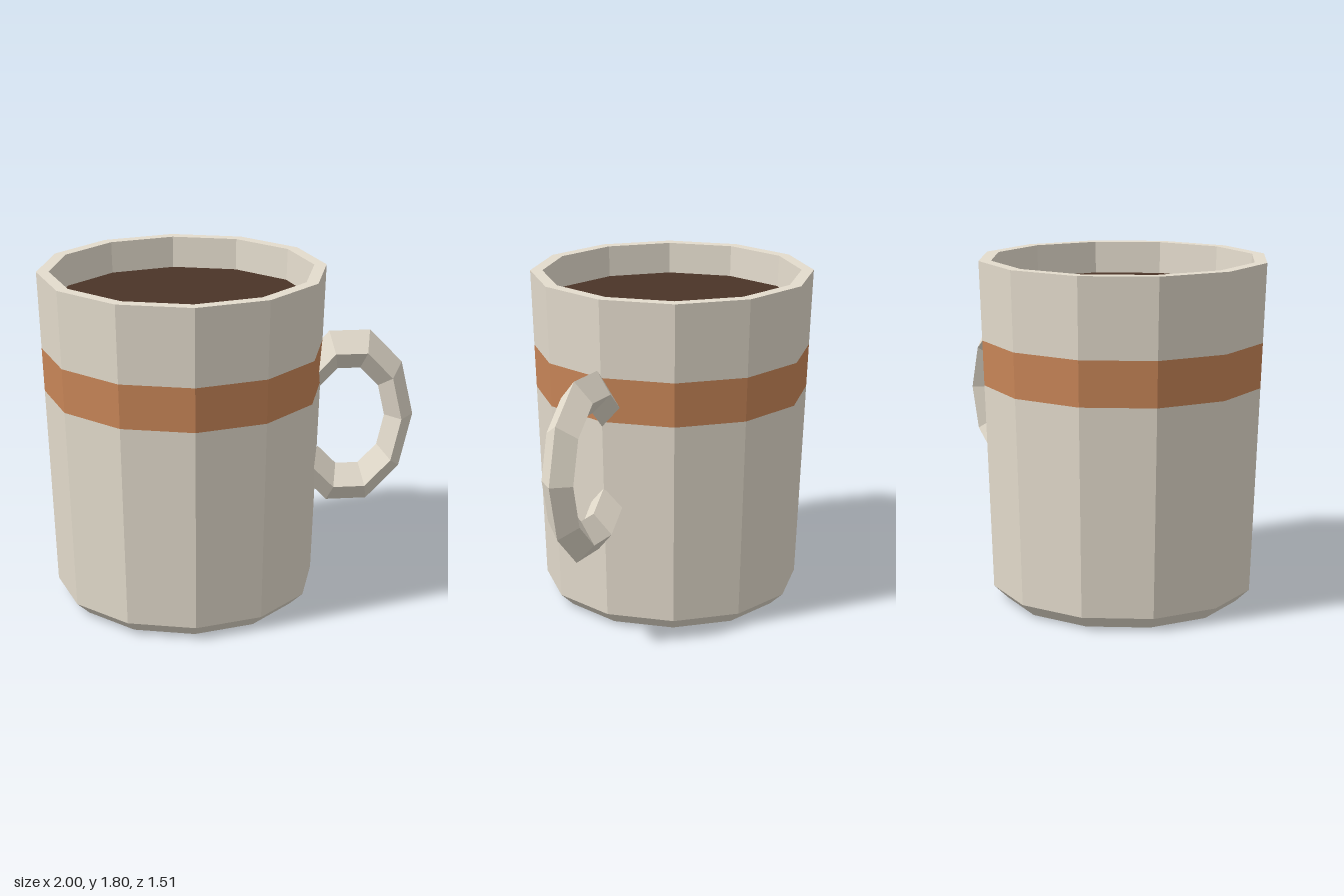
import * as THREE from 'three';

const SIDES = 12;
const CUP_X = -0.243;

function material(color) {
  return new THREE.MeshStandardMaterial({ color, flatShading: true });
}

// Faceted ring of wall turned from [radius, height] pairs
function turned(name, profile, mat) {
  const points = profile.map(([r, y]) => new THREE.Vector2(r, y));
  const mesh = new THREE.Mesh(new THREE.LatheGeometry(points, SIDES), mat);
  mesh.name = name;
  return mesh;
}

export function createModel() {
  const model = new THREE.Group();
  model.name = 'mug';
  const ceramic = material(0xe4dccd);
  const stripe = material(0xc98658);
  const coffee = material(0x4b3427);

  // Tapered outer wall radius at a given height
  const wall = (y) => 0.697 + (0.06 * (y - 0.07)) / 1.73;
  const bandLow = 1.155, bandHigh = 1.39, rim = 1.8, level = 1.63;

  const cup = new THREE.Group();
  cup.name = 'cup';
  cup.position.x = CUP_X;
  model.add(cup);

  // Base, chamfered foot and lower wall
  cup.add(turned('lowerBody', [[0, 0], [0.624, 0], [0.697, 0.07], [wall(bandLow), bandLow]], ceramic));

  // Flush coloured band
  cup.add(turned('band', [[wall(bandLow), bandLow], [wall(bandHigh), bandHigh]], stripe));

  // Upper wall, flat rim, inner wall and inner floor
  cup.add(turned('upperBody', [
    [wall(bandHigh), bandHigh], [wall(rim), rim], [0.692, rim], [0.685, level], [0.635, 0.1], [0, 0.1],
  ], ceramic));

  // Drink surface
  const drink = new THREE.Mesh(new THREE.CircleGeometry(0.683, SIDES), coffee);
  drink.name = 'drink';
  drink.rotation.x = -Math.PI / 2;
  drink.position.y = level;
  cup.add(drink);

  // Handle: diamond-section arc, squashed to an oval, ends buried in the wall
  const arc = Math.PI * 1.6;
  const loop = new THREE.TorusGeometry(0.396, 0.111, 4, 8, arc);
  loop.rotateZ(-arc / 2);
  loop.scale(0.7, 1, 0.835);
  const handle = new THREE.Mesh(loop, ceramic);
  handle.name = 'handle';
  handle.position.set(0.645, 0.955, 0);
  model.add(handle);

  return model;
}
